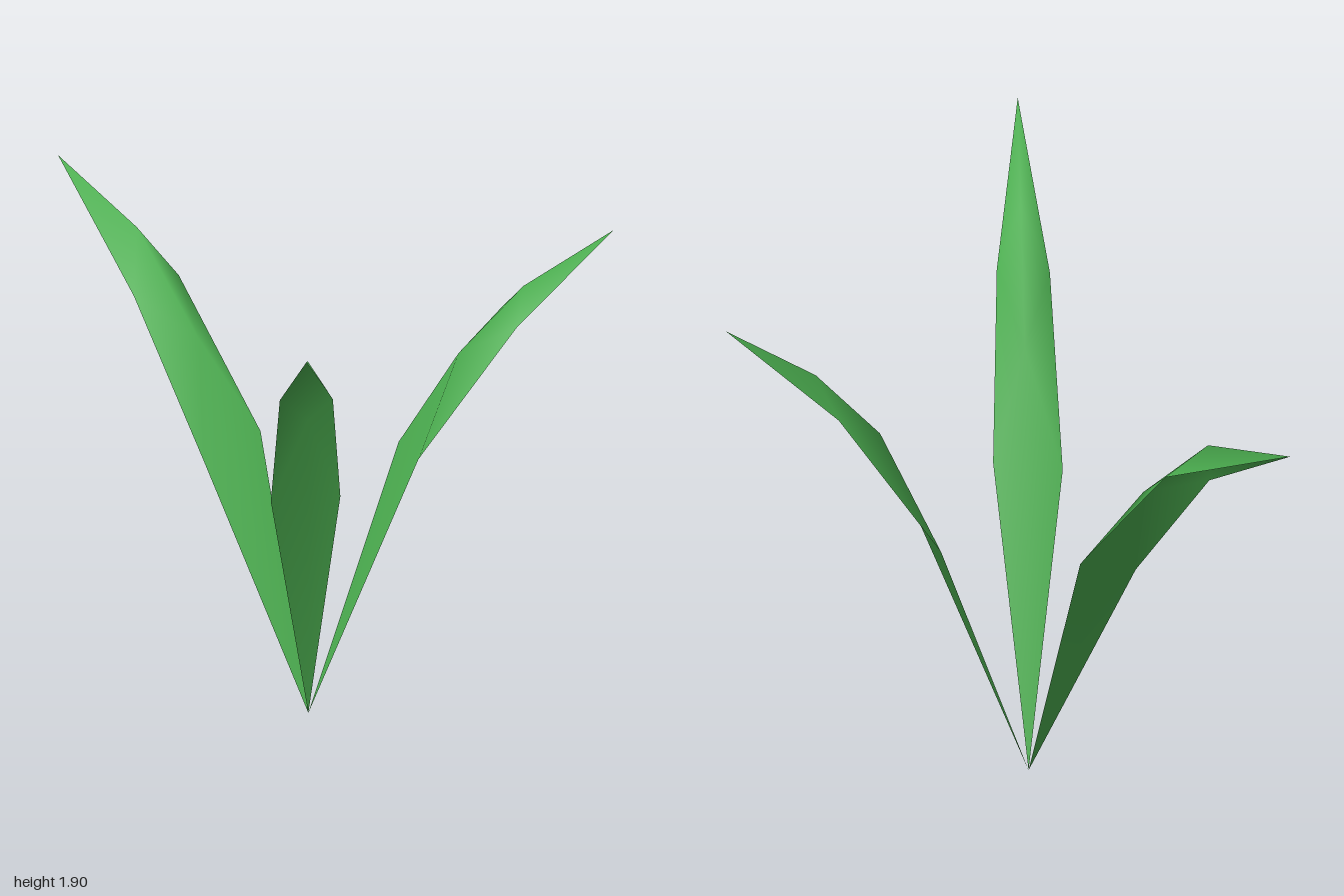
import * as THREE from 'three';

const ROOT = [0.155, 0, -0.215];

// Each blade: two points per edge, two on the raised midrib, and a tip
const BLADES = {
  frontLeaf: {
    left: [[0.37, 0.96, 0.035], [0.48, 1.5, 0.37]],
    rib: [[0.32, 1.31, 0.2], [0.44, 1.69, 0.49]],
    right: [[0.155, 0.935, 0.11], [0.315, 1.49, 0.425]],
    tip: [0.592, 1.9, 0.875],
  },
  backRightLeaf: {
    left: [[-0.255, 0.8, -0.315], [-0.59, 1.24, -0.53]],
    rib: [[-0.345, 1.15, -0.49], [-0.635, 1.42, -0.665]],
    right: [[-0.12, 0.86, -0.475], [-0.48, 1.28, -0.65]],
    tip: [-1, 1.51, -0.88],
  },
  backLeftLeaf: {
    left: [[0.335, 0.87, -0.555], [0.635, 1.35, -0.71]],
    rib: [[0.555, 1.25, -0.535], [0.735, 1.475, -0.655]],
    right: [[0.485, 0.93, -0.36], [0.75, 1.37, -0.565]],
    tip: [0.99, 1.655, -0.815],
  },
};

// Two mirrored halves that share the midrib, so the fold shades smoothly
function bladeGeometry({ left, rib, right, tip }) {
  const points = [ROOT, ...left, ...rib, ...right, tip];
  const index = [];
  for (const [edge, flip] of [[1, false], [5, true]]) {
    const half = [
      [0, 3, edge],
      [edge, 3, edge + 1],
      [3, 4, edge + 1],
      [edge + 1, 4, 7],
    ];
    for (const [a, b, c] of half) index.push(...(flip ? [a, c, b] : [a, b, c]));
  }
  const geometry = new THREE.BufferGeometry();
  geometry.setAttribute('position', new THREE.Float32BufferAttribute(points.flat(), 3));
  geometry.setIndex(index);
  geometry.computeVertexNormals();
  return geometry;
}

export function createModel() {
  const group = new THREE.Group();
  group.name = 'grassTuft';
  const green = new THREE.MeshStandardMaterial({ color: 0x4caf50, side: THREE.DoubleSide });
  green.name = 'leafGreen';

  for (const [name, blade] of Object.entries(BLADES)) {
    const leaf = new THREE.Mesh(bladeGeometry(blade), green);
    leaf.name = name;
    group.add(leaf);
  }
  return group;
}
